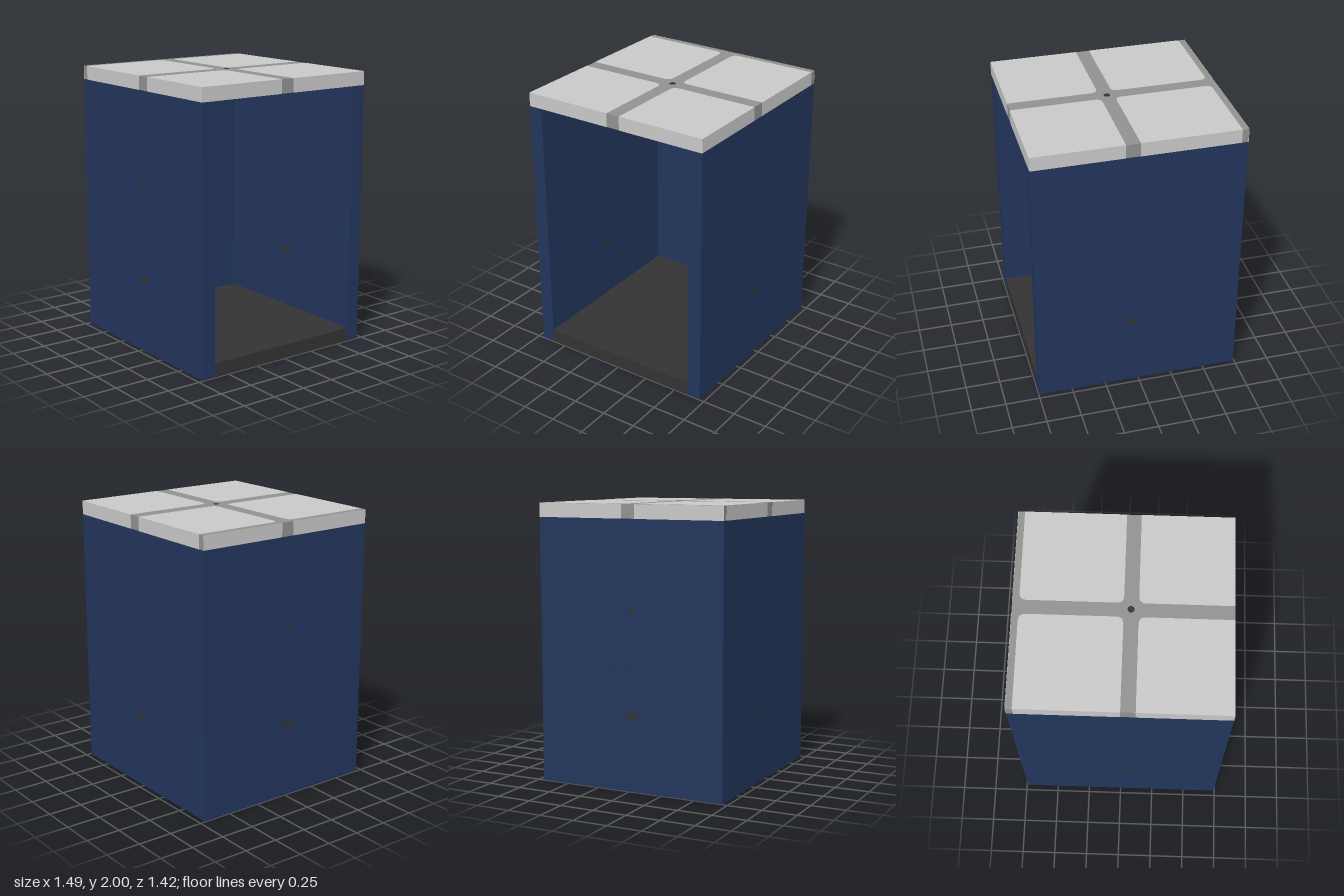
import * as THREE from 'three';

const paint = (name, color) => new THREE.MeshStandardMaterial({ name, color });

export function createModel() {
  const blue = paint('wall blue', 0x22355c);
  const light = paint('tile light grey', 0xc8c8c8);
  const grey = paint('joint grey', 0x8f928e);
  const dark = paint('floor charcoal', 0x333332);

  const X = 0.743, Z = 0.71, T = 0.1, H = 1.9;
  const model = new THREE.Group();
  model.name = 'openBooth';

  // Box given by its minimum and maximum corners
  const box = (name, mat, x0, x1, y0, y1, z0, z1, parent = model) => {
    const mesh = new THREE.Mesh(new THREE.BoxGeometry(x1 - x0, y1 - y0, z1 - z0), mat);
    mesh.position.set((x0 + x1) / 2, (y0 + y1) / 2, (z0 + z1) / 2);
    mesh.name = name;
    parent.add(mesh);
  };

  // Three walls, open on the +x side, and a floor between them
  box('frontWall', blue, -X, X, 0, H, Z - T, Z);
  box('backWall', blue, -X, X, 0, H, -Z, T - Z);
  box('sideWall', blue, -X, T - X, 0, H, T - Z, Z - T);
  box('floor', dark, T - X, X, 0, T, T - Z, Z - T);

  // Roof: grey slab whose joints show between four light tiles
  const roof = new THREE.Group();
  roof.name = 'roof';
  model.add(roof);
  const e = 0.001;
  box('roofJoints', grey, -X, X, H + e, 2 - e, -Z + e, Z - e, roof);

  // Tile with rounded corners only where joints cross; y of the shape is -z
  const tile = (x0, x1, y0, y1, roundLeft, roundRight) => {
    const inner = Math.abs(y0) < Math.abs(y1) ? y0 : y1;
    const outer = inner === y0 ? y1 : y0;
    const r = 0.05, d = Math.sign(outer - inner);
    const s = new THREE.Shape();
    s.moveTo(x0, outer);
    if (roundLeft) {
      s.lineTo(x0, inner + d * r);
      s.quadraticCurveTo(x0, inner, x0 + r, inner);
    } else s.lineTo(x0, inner);
    if (roundRight) {
      s.lineTo(x1 - r, inner);
      s.quadraticCurveTo(x1, inner, x1, inner + d * r);
    } else s.lineTo(x1, inner);
    s.lineTo(x1, outer);
    s.closePath();
    const geo = new THREE.ExtrudeGeometry(s, { depth: T, bevelEnabled: false, curveSegments: 6 });
    geo.rotateX(-Math.PI / 2);
    const mesh = new THREE.Mesh(geo, light);
    mesh.position.y = H;
    mesh.name = 'roofTile';
    roof.add(mesh);
  };
  for (const [y0, y1] of [[0.055, Z], [-Z, -0.045]]) {
    tile(-0.697, 0.002, y0, y1, true, true);
    tile(0.102, X + e, y0, y1, true, false);
    // Light edge facing on the closed side
    box('roofEdge', light, -X - e, -X + e, H, 2 - e, -y1, -y0, roof);
  }

  // Small dark flecks: centre, height, half width, half height
  const flecks = [[0.04, 0.54, 0.045, 0.028], [0.035, 0.54, 0.075, 0.01],
    [0.03, 1.27, 0.022, 0.02], [0.05, 0.88, 0.012, 0.008], [0.2, 0.88, 0.01, 0.008]];
  const fleck = (w, h, x, y, z, rx, ry) => {
    const mesh = new THREE.Mesh(new THREE.CircleGeometry(1, 10), dark);
    mesh.scale.set(w, h, 1);
    mesh.position.set(x, y, z);
    mesh.rotation.set(rx, ry, 0);
    mesh.name = 'fleck';
    model.add(mesh);
  };
  const o = 0.002;
  for (const [u, y, w, h] of flecks) {
    for (const [z, ry] of [[Z + o, 0], [T - Z + o, 0], [-Z - o, Math.PI], [Z - T - o, Math.PI]])
      fleck(w, h, u, y, z, 0, ry);
    fleck(w, h, T - X + o, y, u < 0.1 ? 0.02 : -0.13, 0, Math.PI / 2);
    fleck(w, h, -X - o, y, u < 0.1 ? 0.02 : -0.13, 0, -Math.PI / 2);
  }
  fleck(0.024, 0.024, 0.05, 2 + e, -0.01, -Math.PI / 2, 0);

  return model;
}
